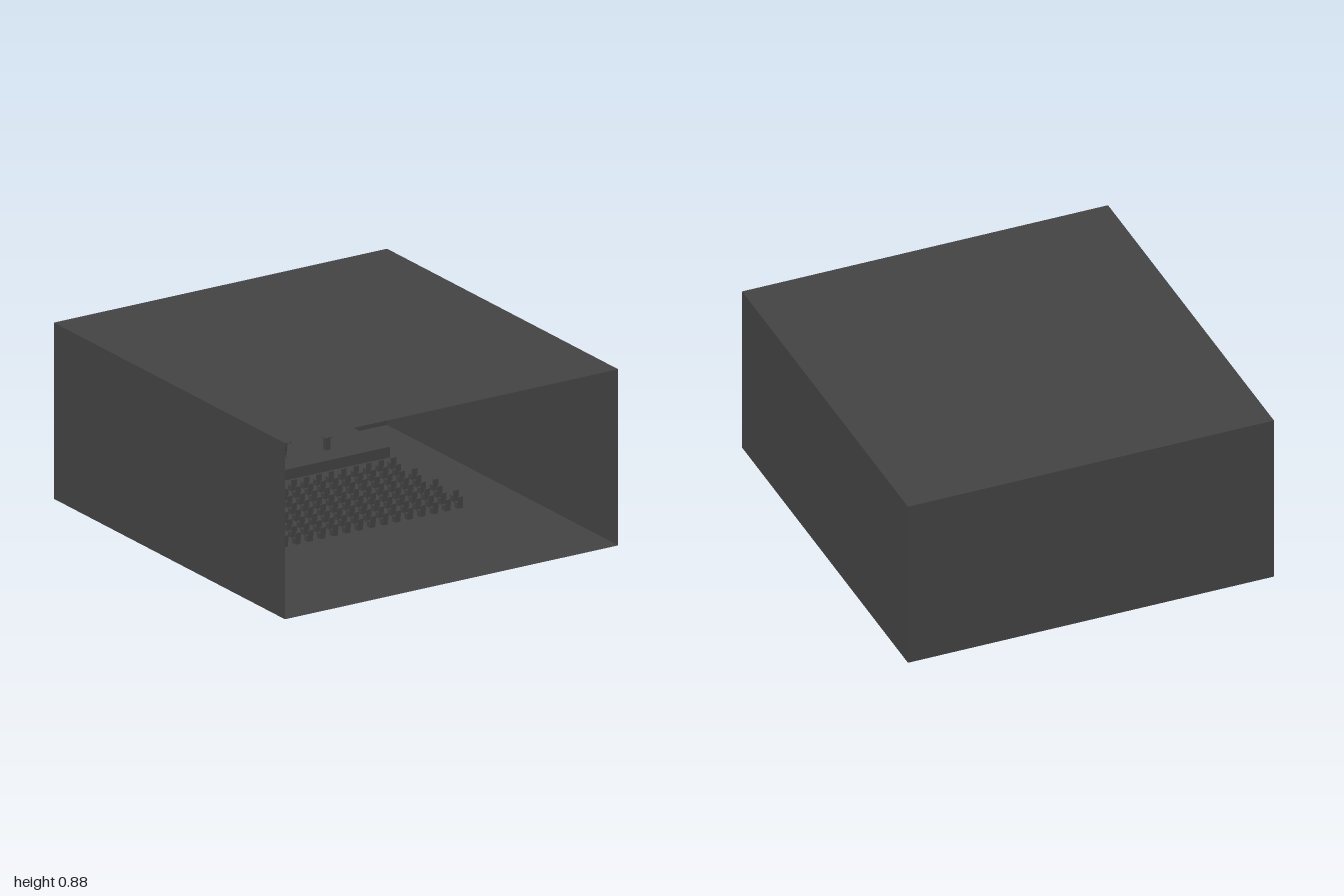
import * as THREE from 'three';

const W = 1.88, H = 0.885, D = 2;

export function createModel() {
  const grey = new THREE.MeshStandardMaterial({ color: 0x444444, side: THREE.DoubleSide });
  grey.name = 'charcoal grey';
  const hall = new THREE.Group();
  hall.name = 'lectureHall';

  const add = (parent, name, geometry, x, y, z, rx = 0, ry = 0, rz = 0) => {
    const mesh = new THREE.Mesh(geometry, grey);
    mesh.name = name;
    mesh.position.set(x, y, z);
    mesh.rotation.set(rx, ry, rz);
    parent.add(mesh);
    return mesh;
  };
  const box = (w, h, d) => new THREE.BoxGeometry(w, h, d);
  const group = (name, x, y, z) => {
    const g = new THREE.Group();
    g.name = name;
    g.position.set(x, y, z);
    hall.add(g);
    return g;
  };

  // Room shell of thin sheets, open at the front
  const slab = new THREE.PlaneGeometry(W, D);
  const side = new THREE.PlaneGeometry(D, H);
  add(hall, 'floor', slab, 0, 0, 0, -Math.PI / 2);
  add(hall, 'ceiling', slab, 0, H, 0, -Math.PI / 2);
  add(hall, 'backWall', new THREE.PlaneGeometry(W, H), 0, H / 2, -D / 2, 0, Math.PI);
  for (const s of [-1, 1]) {
    add(hall, s > 0 ? 'leftWall' : 'rightWall', side, s * W / 2, H / 2, 0, 0, s * Math.PI / 2);
  }

  // Stage against the back wall
  const stageTop = 0.053;
  add(hall, 'stage', box(1.41, stageTop, 0.38), 0, stageTop / 2, -0.805);

  // Staggered rows of chairs facing the stage
  const seatGeo = box(0.028, 0.028, 0.03);
  const backGeo = box(0.028, 0.03, 0.008);
  for (let row = 0; row < 8; row++) {
    for (let i = 0; i < 18; i++) {
      const x = -0.6 + i * 0.0704 + (row % 2) * 0.0352;
      const chair = group('chair', x, 0, 0.16 - row * 0.09);
      add(chair, 'seat', seatGeo, 0, 0.014, -0.015);
      add(chair, 'backrest', backGeo, 0, 0.043, 0);
    }
  }

  // Lectern
  const lectern = group('lectern', 0.437, stageTop, -0.75);
  add(lectern, 'pedestal', box(0.026, 0.058, 0.026), 0, 0.029, 0);
  add(lectern, 'desktop', box(0.036, 0.005, 0.034), 0, 0.0605, 0);

  // Speaker standing on the stage
  const speaker = group('speaker', 0.203, stageTop, -0.75);
  add(speaker, 'head', new THREE.SphereGeometry(0.009, 12, 8), 0, 0.107, 0);
  add(speaker, 'torso', box(0.016, 0.046, 0.011), 0, 0.075, 0);
  for (const s of [-1, 1]) {
    add(speaker, 'leg', new THREE.CylinderGeometry(0.004, 0.003, 0.053, 8), s * 0.004, 0.0265, 0);
    add(speaker, 'arm', new THREE.CylinderGeometry(0.003, 0.003, 0.038, 8), s * 0.018, 0.085, 0, 0, 0, s * 0.8);
  }
  return hall;
}
